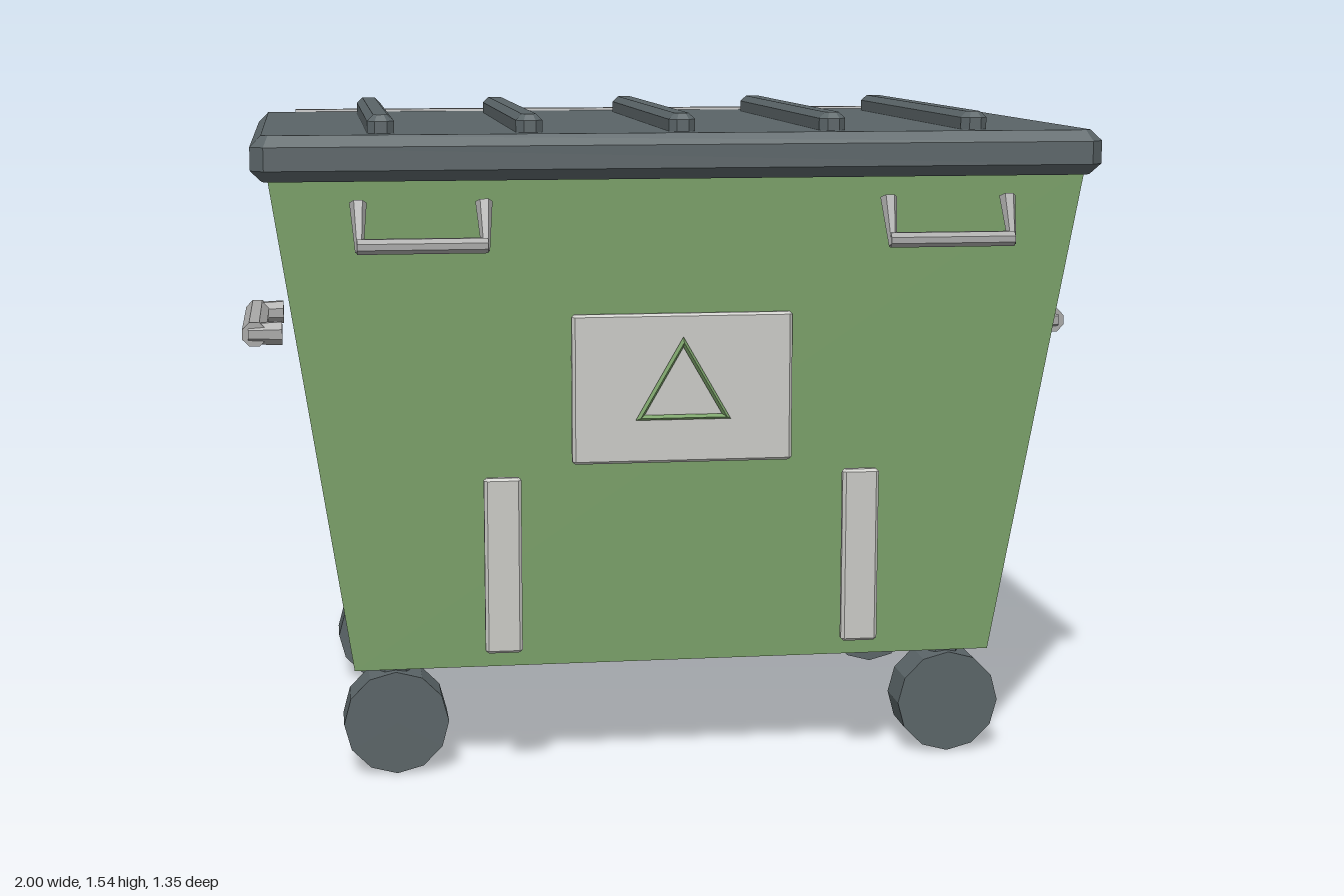
import * as THREE from 'three';

const mat = (name, color) => {
  const m = new THREE.MeshStandardMaterial({ color });
  m.name = name;
  return m;
};

// Faceted copy of a geometry
function flat(g) {
  const f = g.index ? g.toNonIndexed() : g;
  f.computeVertexNormals();
  return f;
}

// Box with chamfered edges, centred, extruded upwards
function chamferBox(w, h, d, c) {
  const a = w / 2 - c, b = d / 2 - c, k = c * 0.6;
  const s = new THREE.Shape([
    [a, -b + k], [a, b - k], [a - k, b], [-a + k, b],
    [-a, b - k], [-a, -b + k], [-a + k, -b], [a - k, -b],
  ].map(([x, y]) => new THREE.Vector2(x, y)));
  const g = new THREE.ExtrudeGeometry(s, {
    depth: h - 2 * c, bevelEnabled: true, bevelSize: c, bevelThickness: c, bevelSegments: 1,
  });
  g.translate(0, 0, -(h - 2 * c) / 2);
  g.rotateX(-Math.PI / 2);
  return flat(g);
}

// Faceted round bar from point a to point b
function bar(a, b, ra, rb = ra, sides = 8) {
  const p = new THREE.Vector3(...a), q = new THREE.Vector3(...b);
  const dir = q.clone().sub(p);
  const g = new THREE.CylinderGeometry(rb, ra, dir.length(), sides);
  g.rotateY(Math.PI / sides);
  g.applyQuaternion(new THREE.Quaternion().setFromUnitVectors(new THREE.Vector3(0, 1, 0), dir.normalize()));
  g.translate(...p.add(q).multiplyScalar(0.5).toArray());
  return flat(g);
}

export function createModel() {
  const green = mat('green paint', 0x7fa66d);
  const dark = mat('dark plastic', 0x5a6467);
  const metal = mat('grey metal', 0xa8a8a7);
  const pale = mat('pale panel', 0xc9c9c5);

  const model = new THREE.Group();
  model.name = 'wheeledBin';
  const add = (name, geo, material, x = 0, y = 0, z = 0, parent = model) => {
    const m = new THREE.Mesh(geo, material);
    m.name = name;
    m.position.set(x, y, z);
    parent.add(m);
    return m;
  };

  // Tapered body
  const body = new THREE.BoxGeometry(2, 1, 2);
  const p = body.attributes.position;
  for (let i = 0; i < p.count; i++) {
    const top = p.getY(i) > 0, front = p.getZ(i) > 0;
    p.setXYZ(i, Math.sign(p.getX(i)) * (top ? 0.927 : 0.755), top ? 1.41 : 0.25,
      front ? (top ? 0.562 : 0.445) : (top ? -0.607 : -0.49));
  }
  add('body', flat(body), green);

  // Lid with ribs and hinge pipe
  add('lid', chamferBox(1.924, 0.102, 1.252, 0.025), dark, 0, 1.444, -0.025);
  for (const x of [-0.675, -0.345, 0, 0.345, 0.675])
    add('lidRib', chamferBox(0.06, 0.06, 1.06, 0.014), dark, x, 1.506, 0);
  add('hingePipe', bar([-0.865, 1.465, -0.643], [0.865, 1.465, -0.643], 0.039), metal);

  // Wheels on short swivels
  const wheelGeo = flat(new THREE.CylinderGeometry(0.122, 0.122, 0.108, 12).rotateX(Math.PI / 2));
  const swivelGeo = flat(new THREE.CylinderGeometry(0.035, 0.035, 0.04, 8));
  for (const x of [-0.66, 0.66])
    for (const z of [0.392, -0.436]) {
      add('wheel', wheelGeo, dark, x, 0.122, z);
      add('wheelSwivel', swivelGeo, dark, x, 0.245, z);
    }

  for (const s of [-1, 1]) {
    // Side grips
    const grip = new THREE.Group();
    grip.name = s > 0 ? 'leftSideHandle' : 'rightSideHandle';
    model.add(grip);
    add('grip', bar([s * 0.97, 1.01, 0.205], [s * 0.97, 1.01, -0.245], 0.031), metal, 0, 0, 0, grip);
    for (const z of [0.185, -0.225])
      add('gripLeg', bar([s * 0.905, 1.01, z], [s * 0.985, 1.01, z], 0.03, 0.026), metal, 0, 0, 0, grip);

    // Front pull handles
    const pull = new THREE.Group();
    pull.name = s > 0 ? 'leftPullHandle' : 'rightPullHandle';
    model.add(pull);
    add('pullBar', bar([s * 0.45, 1.257, 0.655], [s * 0.735, 1.257, 0.655], 0.018), metal, 0, 0, 0, pull);
    for (const x of [0.455, 0.73])
      add('pullLeg', bar([s * x, 1.245, 0.66], [s * x, 1.35, 0.613], 0.009, 0.019, 6), metal, 0, 0, 0, pull);

    // Upright front strips
    add('frontStrip', chamferBox(0.085, 0.408, 0.026, 0.006), pale, s * 0.415, 0.513, 0.543);
  }

  // Front panel with triangular outline
  add('frontPanel', chamferBox(0.508, 0.344, 0.028, 0.006), pale, 0, 0.913, 0.526);
  const tri = flat(new THREE.TorusGeometry(0.115, 0.012, 4, 3).rotateZ(Math.PI / 2));
  add('panelTriangle', tri, green, 0, 0.905, 0.544);

  return model;
}
